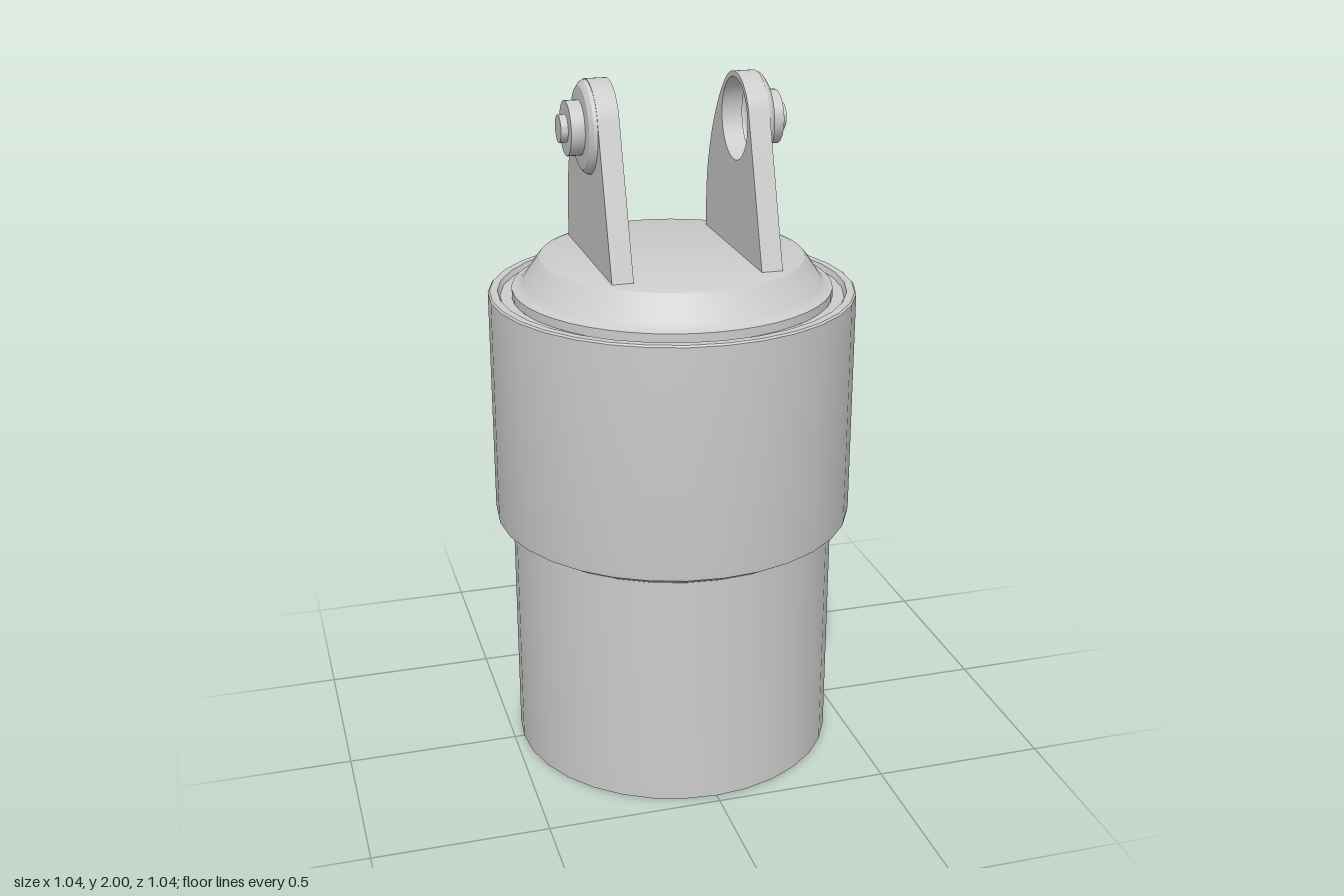
import * as THREE from 'three';
import { toCreasedNormals } from 'three/addons/utils/BufferGeometryUtils.js';

const material = new THREE.MeshStandardMaterial({ color: 0xcccccc, side: THREE.DoubleSide });
const PIN_Y = 1.87;

function mesh(name, geometry) {
  const m = new THREE.Mesh(toCreasedNormals(geometry, 0.5), material);
  m.name = name;
  return m;
}

function lathe(points, segments) {
  return new THREE.LatheGeometry(points.map(([r, y]) => new THREE.Vector2(r, y)), segments);
}

// Side outline of a lug, drawn as (z, y), with a round opening behind the boss
function lugShape() {
  const s = new THREE.Shape();
  s.moveTo(-0.26, 1.5);
  s.lineTo(0.26, 1.5);
  s.absarc(0, PIN_Y, 0.13, 0.32, (Math.PI * 2) / 3, false);
  s.bezierCurveTo(-0.15, 1.93, -0.26, 1.75, -0.26, 1.58);
  s.closePath();
  const hole = new THREE.Path();
  hole.absarc(0, PIN_Y, 0.115, 0, Math.PI * 2, true);
  s.holes.push(hole);
  return s;
}

function createLug(side) {
  const lug = new THREE.Group();
  lug.name = side > 0 ? 'leftLug' : 'rightLug';

  const plate = new THREE.ExtrudeGeometry(lugShape(), { depth: 0.06, bevelEnabled: false, curveSegments: 20 });
  plate.rotateY(-Math.PI / 2);
  plate.translate(side > 0 ? 0.24 : -0.18, 0, 0);
  lug.add(mesh('lugPlate', plate));

  // Hollow stepped boss closing the outer side of the opening
  const boss = lathe([
    [0.13, 0.235], [0.125, 0.25], [0.112, 0.26], [0.075, 0.262],
    [0.075, 0.3], [0.038, 0.3], [0.038, 0.32], [0, 0.32],
  ], 32);
  boss.rotateZ(-side * Math.PI / 2);
  boss.translate(0, PIN_Y, 0);
  lug.add(mesh('pinBoss', boss));
  return lug;
}

export function createModel() {
  const model = new THREE.Group();
  model.name = 'cylinderMount';

  // Lower tube, open at the bottom
  model.add(mesh('lowerTube', lathe([[0.472, 0], [0.472, 0.71]], 32)));

  // Wider sleeve with a chamfered foot and a shallow groove inside its rim
  model.add(mesh('sleeve', lathe([
    [0.47, 0.7], [0.48, 0.7], [0.52, 0.725], [0.522, 0.74],
    [0.522, 1.395], [0.517, 1.4], [0.495, 1.4], [0.488, 1.385], [0.455, 1.385],
  ], 32)));

  // Raised cap with sloping shoulder
  model.add(mesh('cap', lathe([
    [0.455, 1.385], [0.455, 1.41], [0.437, 1.415], [0.425, 1.425],
    [0.385, 1.485], [0.375, 1.496], [0.363, 1.5], [0, 1.5],
  ], 48)));

  for (const side of [1, -1]) model.add(createLug(side));
  return model;
}
